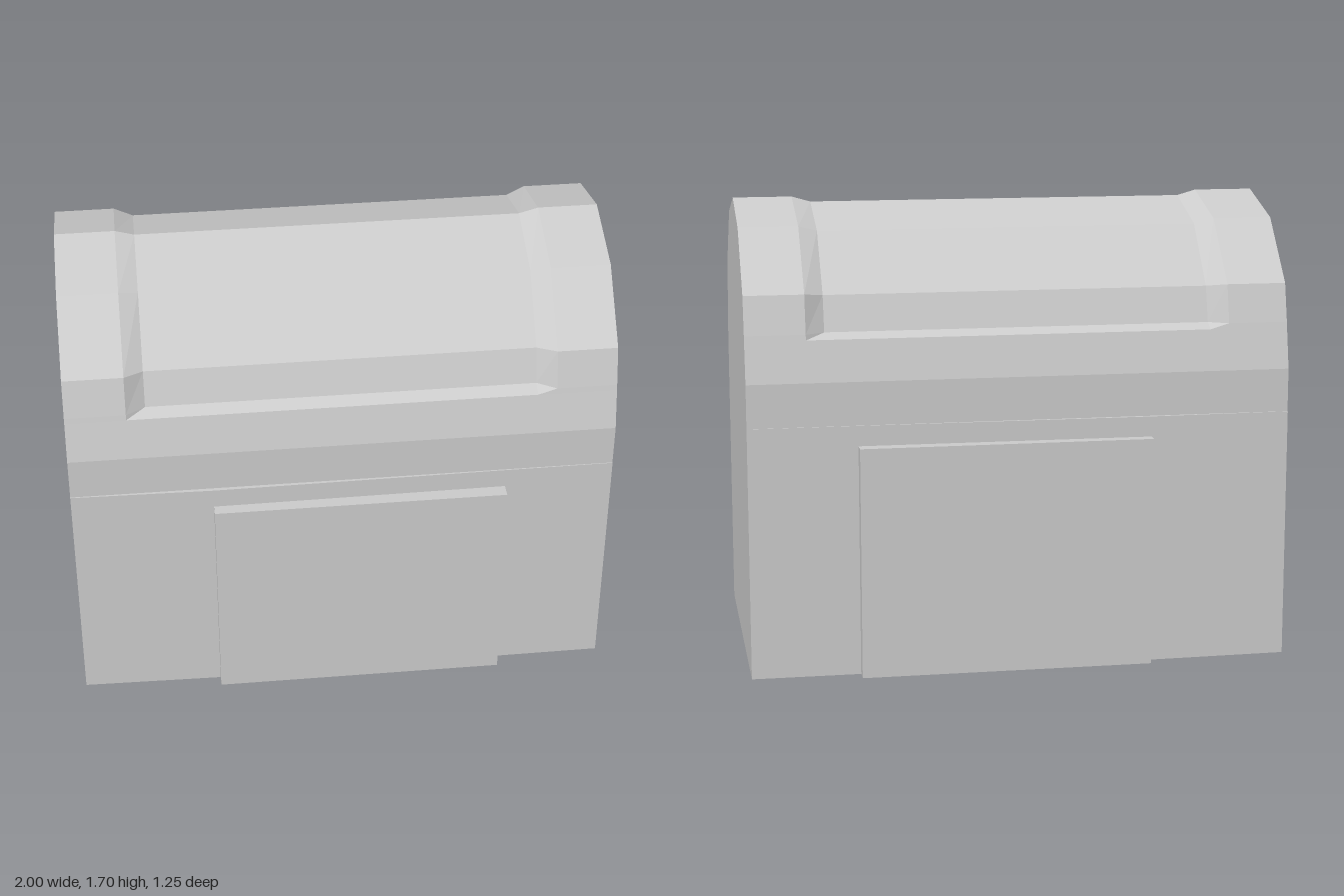
import * as THREE from 'three';

const material = new THREE.MeshStandardMaterial({ color: 0xcccccc, flatShading: true });

function addMesh(parent, name, geometry) {
  const mesh = new THREE.Mesh(geometry, material);
  mesh.name = name;
  parent.add(mesh);
  return mesh;
}

// Mirrors a half profile of [z, y] points, running from the front up to the ridge.
function mirrorProfile(half) {
  return [...half, ...half.slice(0, -1).reverse().map(([z, y]) => [-z, y])];
}

// Joins closed cross-sections along x and caps both ends.
function loft(sections) {
  const positions = [];
  const n = sections[0].profile.length;
  const point = (i, j) => {
    const [z, y] = sections[i].profile[j % n];
    return [sections[i].x, y, z];
  };
  const triangle = (a, b, c) => positions.push(...a, ...b, ...c);
  const last = sections.length - 1;
  for (let i = 0; i < last; i++) {
    for (let j = 0; j < n; j++) {
      triangle(point(i, j), point(i + 1, j), point(i + 1, j + 1));
      triangle(point(i, j), point(i + 1, j + 1), point(i, j + 1));
    }
  }
  for (let j = 1; j < n - 1; j++) {
    triangle(point(0, 0), point(0, j), point(0, j + 1));
    triangle(point(last, 0), point(last, j + 1), point(last, j));
  }
  const geometry = new THREE.BufferGeometry();
  geometry.setAttribute('position', new THREE.Float32BufferAttribute(positions, 3));
  geometry.computeVertexNormals();
  return geometry;
}

export function createModel() {
  const group = new THREE.Group();
  group.name = 'barrelRoofedBuilding';
  const seam = 0.93;

  // Lower walls, bulging very slightly beside the panels
  const wall = (x, z) => ({ x, profile: [[z, 0], [z, seam], [-z, seam], [-z, 0]] });
  addMesh(group, 'lowerWalls', loft([wall(-1, 0.572), wall(-0.48, 0.582), wall(0.6, 0.573), wall(1, 0.571)]));

  // Faceted roof: full-size ends with a recessed middle span
  const full = mirrorProfile([
    [0.568, seam], [0.568, 1.09], [0.536, 1.24], [0.532, 1.26], [0.498, 1.4], [0.285, 1.62], [0, 1.7],
  ]);
  const recessed = mirrorProfile([
    [0.568, seam], [0.568, 1.09], [0.536, 1.24], [0.49, 1.26], [0.452, 1.39], [0.262, 1.6], [0, 1.68],
  ]);
  const roof = [
    [-1, full], [-0.78, full], [-0.71, recessed], [0.71, recessed], [0.78, full], [1, full],
  ].map(([x, profile]) => ({ x, profile }));
  addMesh(group, 'roof', loft(roof));

  // Raised panels on the front and back walls
  for (const [name, side] of [['frontPanel', 1], ['backPanel', -1]]) {
    const panel = addMesh(group, name, new THREE.BoxGeometry(1.08, 0.855, 0.1));
    panel.position.set(0.06, 0.4275, side * 0.575);
  }

  return group;
}
